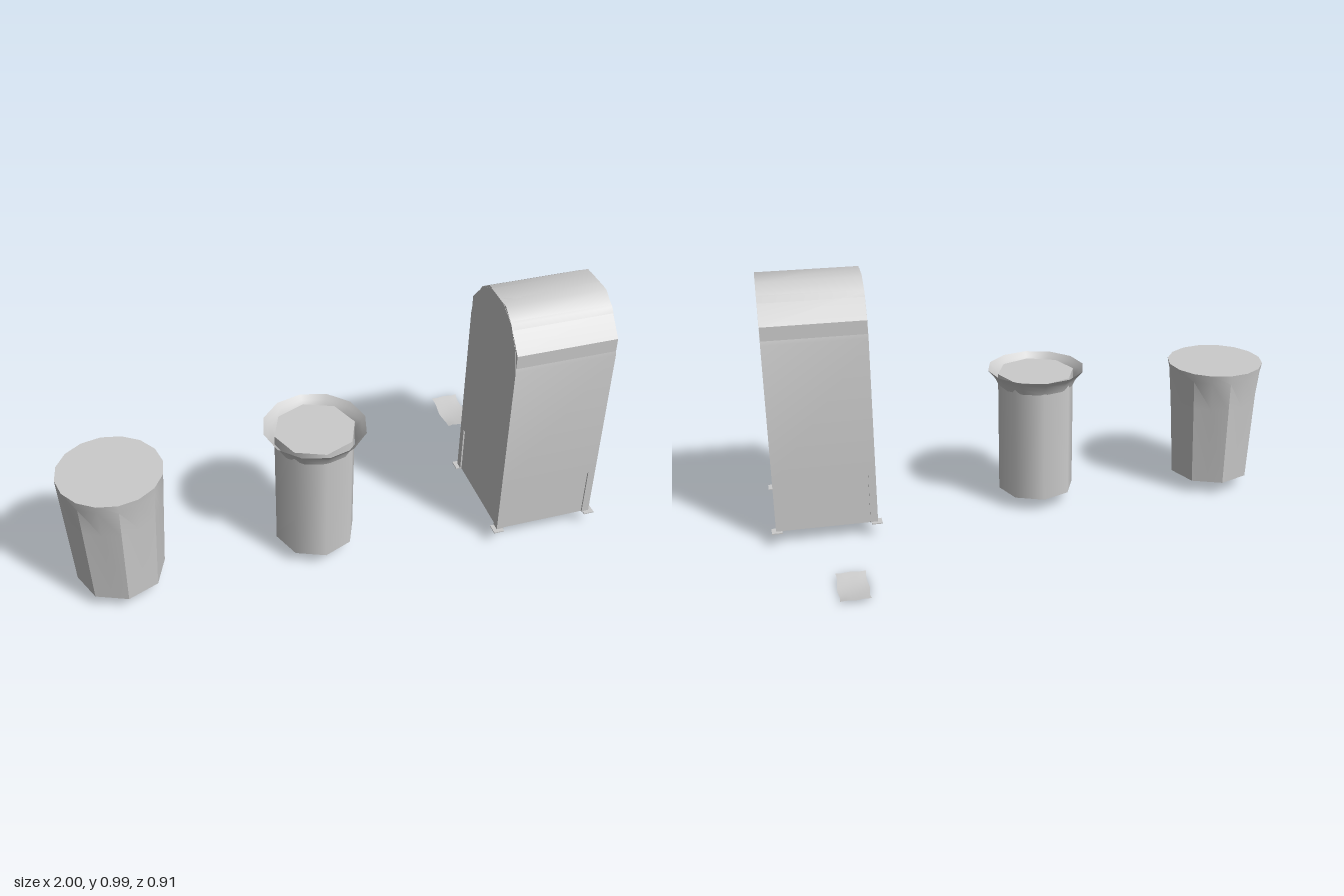
import * as THREE from 'three';
import { toCreasedNormals } from 'three/addons/utils/BufferGeometryUtils.js';

const grey = new THREE.MeshStandardMaterial({ color: 0xcccccc });
const greyDouble = new THREE.MeshStandardMaterial({ color: 0xcccccc, side: THREE.DoubleSide });

function add(parent, name, geometry, x = 0, y = 0, z = 0, material = grey) {
  const mesh = new THREE.Mesh(geometry, material);
  mesh.name = name;
  mesh.position.set(x, y, z);
  parent.add(mesh);
  return mesh;
}

function group(parent, name, x, z) {
  const g = new THREE.Group();
  g.name = name;
  g.position.set(x, 0, z);
  parent.add(g);
  return g;
}

const lathe = (pts, sides) =>
  new THREE.LatheGeometry(pts.map(([r, y]) => new THREE.Vector2(r, y)), sides);

// Side profile in (z, y), mirrored front to back and extruded across x
function profileBlock(half, width) {
  const pts = [...half, ...half.map(([z, y]) => [-z, y]).reverse()];
  const shape = new THREE.Shape(pts.map(([z, y]) => new THREE.Vector2(z, y)));
  const geo = new THREE.ExtrudeGeometry(shape, { depth: width, bevelEnabled: false });
  geo.translate(0, 0, -width / 2).rotateY(-Math.PI / 2);
  return toCreasedNormals(geo, 0.65);
}

// Tapered bin: octagonal foot blending into a rounder sixteen-sided lid
function binGeometry() {
  const sides = 16;
  const profile = [[0, 0.055], [0.162, 0.055], [0.181, 0.38], [0.188, 0.495], [0.19, 0.53], [0, 0.53]];
  const roundness = [0, 0, 0.15, 0.6, 1, 1];
  const geo = lathe(profile, sides);
  const pos = geo.attributes.position;
  for (let i = 0; i < pos.count; i++) {
    const column = Math.floor(i / profile.length);
    if (column % 2 === 0) continue;
    const flat = Math.cos(Math.PI / 8);
    const s = flat + (1 - flat) * roundness[i % profile.length];
    pos.setX(i, pos.getX(i) * s);
    pos.setZ(i, pos.getZ(i) * s);
  }
  return toCreasedNormals(geo, 0.6);
}

// Thin curled sheet with a softly wavy outline
function sheetGeometry() {
  const geo = new THREE.PlaneGeometry(0.112, 0.2, 6, 10).rotateX(-Math.PI / 2);
  const pos = geo.attributes.position;
  for (let i = 0; i < pos.count; i++) {
    const u = pos.getX(i) / 0.056, v = pos.getZ(i) / 0.1;
    pos.setX(i, pos.getX(i) * (0.98 + 0.05 * Math.cos(v * 5)));
    pos.setZ(i, pos.getZ(i) * (1 + 0.03 * Math.cos(u * 5)));
    pos.setY(i, 0.002 + 0.012 * v * v + 0.002 * u * Math.sin(v * 3));
  }
  geo.computeVertexNormals();
  return geo;
}

export function createModel() {
  const model = new THREE.Group();
  model.name = 'streetFurniture';

  // Closed tapered bin
  const bin = group(model, 'taperedBin', -0.81, 0.233);
  add(bin, 'binBody', binGeometry());

  // Straight bin with a flared rim
  const can = group(model, 'rimmedBin', -0.065, 0.233);
  add(can, 'canBody', new THREE.CylinderGeometry(0.151, 0.151, 0.49, 8), 0, 0.30, 0);
  add(can, 'flaredRim', lathe([[0.149, 0.5], [0.16, 0.525], [0.175, 0.545], [0.19, 0.562]], 12),
    0, 0, 0, greyDouble);

  // Collection box: arched body, hatch hood, base panel and four legs
  const box = group(model, 'collectionBox', 0.791, 0.2375);
  add(box, 'archedBody', profileBlock(
    [[0.202, 0.257], [0.202, 0.8], [0.183, 0.875], [0.128, 0.955], [0.05, 0.993]], 0.384));
  add(box, 'hatchHood', profileBlock(
    [[0.17, 0.81], [0.2, 0.815], [0.2, 0.867], [0.125, 0.955], [0.072, 0.993]], 0.382));
  add(box, 'basePanel', new THREE.BoxGeometry(0.372, 0.203, 0.392), 0, 0.1575, 0);
  for (const sx of [-1, 1]) {
    for (const sz of [-1, 1]) {
      add(box, 'leg', new THREE.BoxGeometry(0.028, 0.203, 0.03), sx * 0.178, 0.1575, sz * 0.187);
      add(box, 'footPlate', new THREE.BoxGeometry(0.04, 0.004, 0.042), sx * 0.188, 0.057, sz * 0.196);
    }
  }

  // Loose curled sheet on the ground
  add(model, 'curledSheet', sheetGeometry(), 0.732, 0.001, -0.353, greyDouble);

  return model;
}
